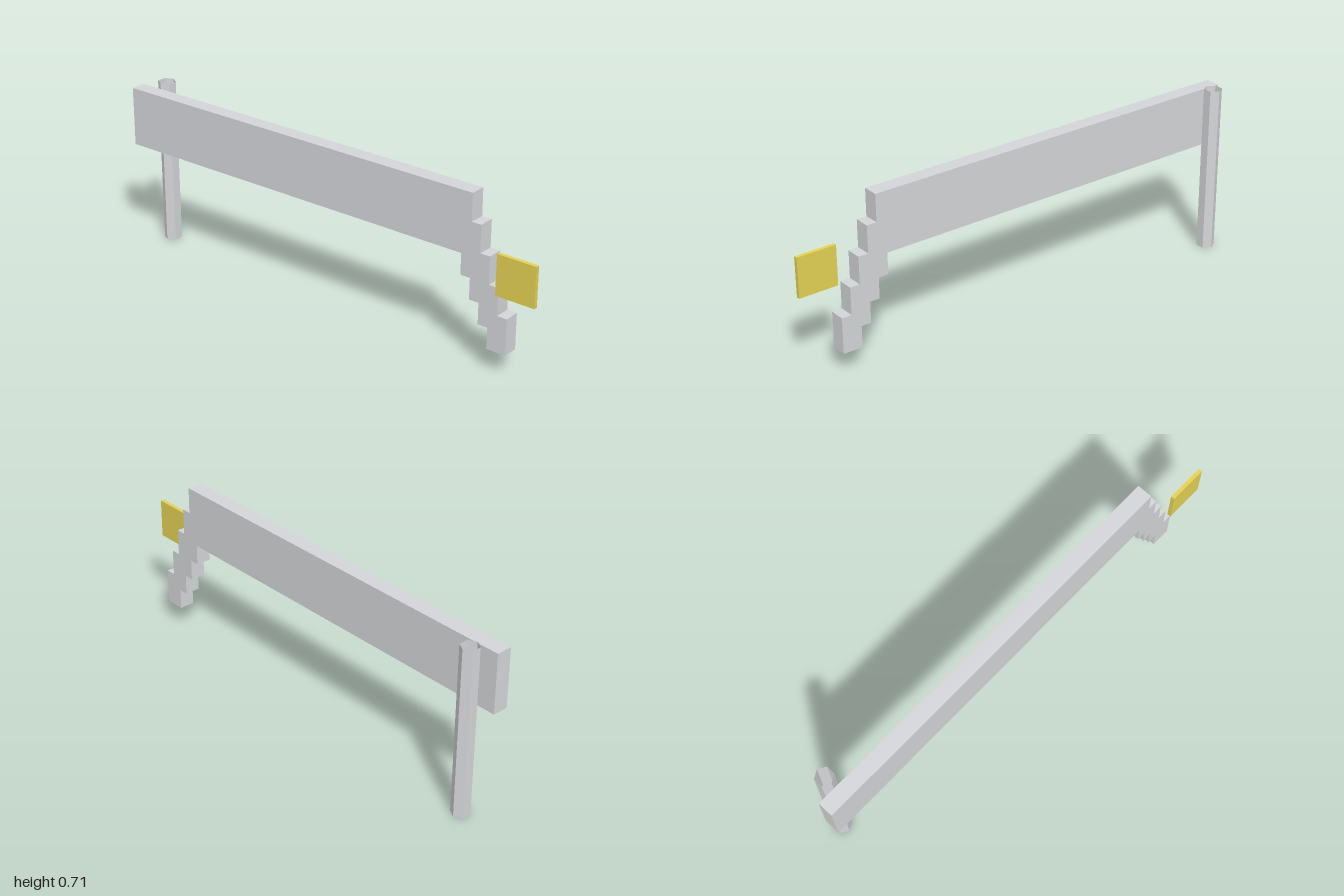
import * as THREE from 'three';

export function createModel() {
  const model = new THREE.Group();
  model.name = 'steppedBarrier';

  const grey = new THREE.MeshStandardMaterial({ color: 0xd3d5d8 });
  grey.name = 'light grey metal';
  const yellow = new THREE.MeshStandardMaterial({ color: 0xe3d154 });
  yellow.name = 'yellow';
  const greyOpen = grey.clone();
  greyOpen.side = THREE.DoubleSide;
  greyOpen.flatShading = true;

  const add = (name, geometry, material, x, y, z) => {
    const mesh = new THREE.Mesh(geometry, material);
    mesh.name = name;
    mesh.position.set(x, y, z);
    model.add(mesh);
  };

  // Long rail whose end descends in four steps
  const step = 0.0418, upperDrop = 0.1123, lowerDrop = 0.0875;
  const outline = [[-1, 0.443], [-1, 0.691]];
  for (let i = 0; i < 5; i++) {
    const x = 0.705 + i * step;
    const bottom = i < 4 ? 0.691 - (i + 1) * upperDrop : 0.093;
    outline.push([x, 0.691 - i * upperDrop], [x, bottom]);
  }
  for (let i = 3; i >= 0; i--) {
    const x = 0.664 + i * step;
    outline.push([x, 0.443 - (i + 1) * lowerDrop], [x, 0.443 - i * lowerDrop]);
  }
  const shape = new THREE.Shape(outline.map(([x, y]) => new THREE.Vector2(x, y)));
  const rail = new THREE.ExtrudeGeometry(shape, { depth: 0.065, bevelEnabled: false });
  add('steppedRail', rail, grey, 0, 0, 0);

  // Open hexagonal post behind the rail
  const post = new THREE.CylinderGeometry(0.0375, 0.0375, 0.708, 6, 1, true);
  add('post', post, greyOpen, -0.918, 0.354, -0.0525);

  // Marker plate in front of the stepped end
  add('markerPlate', new THREE.BoxGeometry(0.166, 0.165, 0.016), yellow, 0.917, 0.4175, 0.082);

  return model;
}
